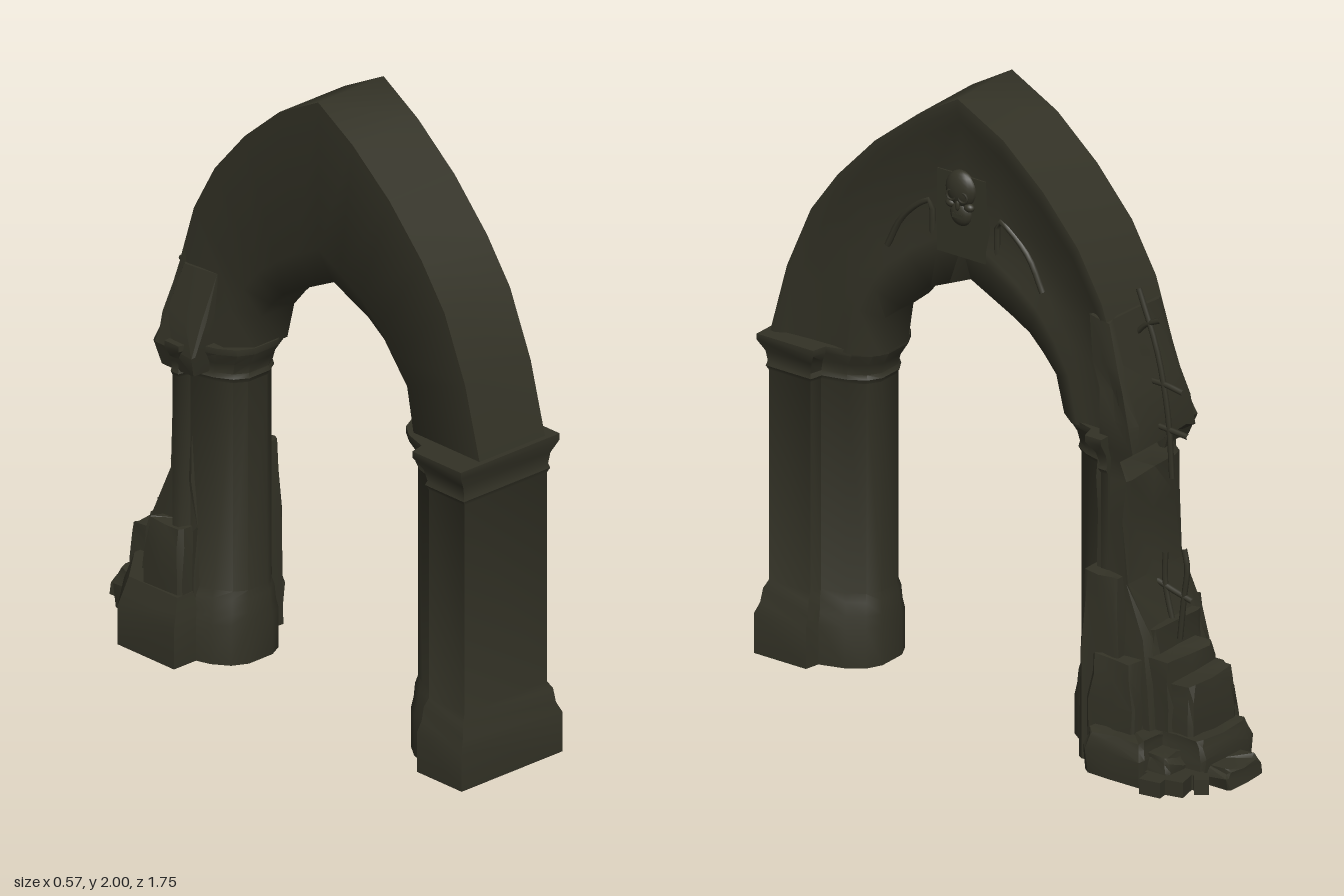
import * as THREE from 'three';
import { toCreasedNormals } from 'three/addons/utils/BufferGeometryUtils.js';

const stone = new THREE.MeshStandardMaterial({ color: 0x333226 });
stone.name = 'dark stone';

let seed = 7;
const rnd = () => { seed = (seed * 16807) % 2147483647; return seed / 2147483647 - 0.5; };

// Skin a list of closed rings of [x, y, z], cap the ends and turn faces outward
function loft(rings, crease) {
  const n = rings[0].length, pos = rings.flat(2), idx = [];
  for (let r = 0; r < rings.length - 1; r++) {
    for (let i = 0; i < n; i++) {
      const a = r * n + i, b = r * n + (i + 1) % n;
      idx.push(a, b, a + n, b, b + n, a + n);
    }
  }
  [0, rings.length - 1].forEach((r, end) => {
    const c = pos.length / 3;
    for (let k = 0; k < 3; k++) pos.push(rings[r].reduce((s, p) => s + p[k], 0) / n);
    for (let i = 0; i < n; i++) {
      const a = r * n + i, b = r * n + (i + 1) % n;
      if (end) idx.push(a, b, c); else idx.push(b, a, c);
    }
  });
  let volume = 0;
  const v = (i) => new THREE.Vector3().fromArray(pos, i * 3);
  for (let i = 0; i < idx.length; i += 3) volume += v(idx[i]).dot(v(idx[i + 1]).cross(v(idx[i + 2])));
  if (volume < 0) idx.reverse();
  const g = new THREE.BufferGeometry();
  g.setAttribute('position', new THREE.Float32BufferAttribute(pos, 3));
  g.setIndex(idx);
  return toCreasedNormals(g, crease);
}

// Ragged masonry from levels of [y, x0, x1, z0, z1]
function ragged(levels, jitter) {
  const outline = [[0, 0.06], [0, 0.5], [0, 0.95], [0.1, 1], [0.5, 1], [0.92, 1], [1, 0.92], [1, 0.5], [1, 0.06], [0.92, 0], [0.5, 0], [0.1, 0]];
  return loft(levels.map(([y, x0, x1, z0, z1]) => outline.map(([u, w]) => [
    x0 + (x1 - x0) * u + rnd() * jitter,
    Math.max(0, y + (y > 0.03 ? rnd() * jitter : 0)),
    z0 + (z1 - z0) * w + rnd() * jitter,
  ])), 0.5);
}

export function createModel() {
  const model = new THREE.Group();
  const add = (name, geometry, parent = model) => {
    const m = new THREE.Mesh(geometry, stone);
    m.name = name;
    parent.add(m);
    return m;
  };

  // Piers: a wide slab with a rounded inner half; levels are [y, side, inner, outer offsets]
  const plan = [[-0.22, 0.85], [0.12, 0.85], [0.12, 0.695], [0.08, 0.685], [0.06, 0.605], [0.03, 0.553], [-0.01, 0.528],
    [-0.09, 0.528], [-0.13, 0.553], [-0.16, 0.605], [-0.18, 0.685], [-0.22, 0.695]];
  const mouldings = [[0, 0.038, 0.012, 0.028], [0.13, 0.038, 0.012, 0.028], [0.165, 0.022, 0.008, 0.016],
    [0.21, 0.016, 0.005, 0.01], [0.235, 0, 0, 0], [0.925, 0, 0, 0], [0.94, 0.008, 0.008, 0.006],
    [0.955, 0.003, 0.003, 0.002], [0.99, 0.01, 0.012, 0.005], [1.03, 0.034, 0.036, 0.02], [1.05, 0.034, 0.036, 0.02]];
  const pier = (place) => loft(mouldings.map(([y, side, inner, outer]) => plan.map(([x, z]) => [
    -0.05 + (x + 0.05) * (1 + side / 0.17), y, place(z + (z > 0.8 ? outer : -inner), y)])), 0.6);
  add('frontPier', pier((z) => z));
  add('rearPier', pier((z, y) => Math.max(0.3 - z, y > 0.22 ? -0.42 : -0.58)));

  // Pointed arch: outer and inner points as [z, y, z, y], then the x of the sunk face
  const stations = [
    [0.855, 1.04, 0.49, 1.04, 0.085], [0.79, 1.28, 0.47, 1.17, 0.085], [0.7, 1.49, 0.41, 1.22, 0.08],
    [0.6, 1.63, 0.37, 1.27, 0.07], [0.46, 1.78, 0.3, 1.32, 0.06], [0.3, 1.91, 0.23, 1.35, 0.065],
    [0.15, 2, 0.15, 1.385, 0.085], [-0.02, 1.91, 0.07, 1.345, 0.065], [-0.17, 1.78, 0, 1.31, 0.06],
    [-0.3, 1.63, -0.07, 1.27, 0.07], [-0.39, 1.47, -0.12, 1.22, 0.08], [-0.45, 1.28, -0.17, 1.16, 0.085],
    [-0.49, 1.04, -0.2, 1.04, 0.085],
  ];
  // Section as [x, fraction from outer to inner]: rim, sunk face, roll, chamfered soffit
  const section = (face) => [[-0.16, 0], [0.11, 0], [0.112, 0.06], [0.095, 0.13], [0.088, 0.36], [face, 0.6],
    [0.09, 0.72], [0.09, 0.79], [0.045, 1], [-0.095, 1], [-0.16, 0.79]];
  add('arch', loft(stations.map(([oz, oy, iz, iy, face]) => section(face).map(([x, t]) => [
    x, oy + (iy - oy) * t, oz + (iz - oz) * t])), 1.2));

  // Broken core of the rear pier and the torn springing of the arch
  add('brokenCore', ragged([
    [0, -0.2, 0.15, -0.62, -0.35], [0.28, -0.19, 0.14, -0.6, -0.35], [0.42, -0.18, 0.13, -0.56, -0.35],
    [0.58, -0.18, 0.12, -0.49, -0.36], [0.78, -0.17, 0.11, -0.475, -0.37], [0.91, -0.17, 0.115, -0.485, -0.37],
    [0.97, -0.16, 0.105, -0.45, -0.37], [1.01, -0.19, 0.115, -0.515, -0.38], [1.1, -0.19, 0.118, -0.51, -0.38],
    [1.2, -0.17, 0.11, -0.48, -0.38], [1.28, -0.16, 0.115, -0.455, -0.36], [1.42, -0.15, 0.105, -0.415, -0.34],
  ], 0.016));
  add('brokenSpringer', ragged([
    [0.95, -0.22, -0.08, -0.47, -0.32], [1.02, -0.245, -0.08, -0.49, -0.31],
    [1.13, -0.21, -0.08, -0.46, -0.3], [1.28, -0.165, -0.08, -0.43, -0.28]], 0.012));

  // Corner plinth with one splayed side
  const plinth = [[-0.29, -0.34], [-0.29, -0.585], [-0.14, -0.715], [-0.03, -0.715], [-0.03, -0.34]];
  add('splayedPlinth', loft([[0, 1], [0.13, 1], [0.18, 0.92], [0.22, 0.86]].map(([y, s]) =>
    plinth.map(([x, z]) => [-0.06 + (x + 0.06) * s, y, -0.48 + (z + 0.48) * s])), 0.4));

  // Crumbling stubs around the rear pier: [x0, x1, z0, z1, height]
  const stubs = [
    [-0.25, -0.1, -0.52, -0.36, 0.43],
    [0.05, 0.255, -0.645, -0.42, 0.14], [0.05, 0.2, -0.57, -0.4, 0.36], [0.05, 0.175, -0.49, -0.35, 0.61],
    [-0.12, 0.13, -0.66, -0.5, 0.36], [-0.11, 0.12, -0.735, -0.55, 0.3], [-0.12, 0.14, -0.785, -0.6, 0.14],
    [-0.06, 0.11, -0.865, -0.7, 0.06], [-0.15, 0.1, -0.59, -0.45, 0.44], [0.08, 0.22, -0.72, -0.58, 0.1],
  ];
  for (const [x0, x1, z0, z1, h] of stubs) {
    add('ruinedStub', ragged([[0, x0, x1, z0, z1], [h * 0.6, x0, x1, z0, z1],
      [h * 0.85, x0 + 0.008, x1 - 0.008, z0 + 0.008, z1 - 0.008], [h, x0 + 0.015, x1 - 0.015, z0 + 0.015, z1 - 0.015]], 0.013));
  }

  // Loose rubble at the foot
  for (const [x, z, s] of [[0.24, -0.69, 0.08], [0.2, -0.74, 0.08], [0.16, -0.8, 0.05], [0.14, -0.74, 0.08], [0.19, -0.66, 0.08]]) {
    const chip = add('rubble', new THREE.BoxGeometry(s, 0.05, s * 0.9));
    chip.position.set(x, 0.026, z);
    chip.rotation.y = 0.5 + rnd();
  }

  // Bent reinforcing rods, as [z, y] points
  const rod = (pts, x, r, name) => add(name, new THREE.TubeGeometry(
    new THREE.CatmullRomCurve3(pts.map(([z, y]) => new THREE.Vector3(x, y, z))), 12, r, 6));
  [
    [[-0.43, 1.49], [-0.5, 1.3], [-0.54, 1.1], [-0.555, 0.9]],
    [[-0.42, 1.34], [-0.46, 1.38], [-0.51, 1.405]],
    [[-0.45, 1.2], [-0.53, 1.2], [-0.595, 1.19]],
    [[-0.48, 1.06], [-0.56, 1.055], [-0.615, 1.05]],
    [[-0.53, 0.65], [-0.53, 0.55], [-0.56, 0.42]],
    [[-0.6, 0.68], [-0.612, 0.62], [-0.6, 0.52], [-0.585, 0.38]],
    [[-0.5, 0.55], [-0.57, 0.53], [-0.63, 0.515]],
  ].forEach((pts) => rod(pts, -0.02, 0.009, 'bentRod'));

  // Niche behind the carved skull, and the spandrel tracery on either side
  const niche = add('niche', new THREE.BoxGeometry(0.03, 0.27, 0.18));
  niche.position.set(0.078, 1.61, 0.15);
  for (const s of [-1, 1]) {
    const path = [[0.12, 0], [0.13, 0.12], [0.17, 0.1], [0.24, 0.03], [0.29, -0.07]];
    rod(path.map(([z, y]) => [0.15 + s * z, 1.5 + y]), 0.074, 0.01, 'spandrelTracery');
  }

  // Carved skull in relief, facing +x
  const skull = new THREE.Group();
  skull.name = 'carvedSkull';
  skull.position.set(0.09, 1.67, 0.15);
  model.add(skull);
  const ball = (name, y, z, x, sx, sy, sz) => {
    const m = add(name, new THREE.SphereGeometry(1, 16, 12), skull);
    m.position.set(x, y, z);
    m.scale.set(sx, sy, sz);
  };
  ball('cranium', 0.03, 0, 0, 0.03, 0.06, 0.056);
  ball('jaw', -0.05, 0, 0, 0.024, 0.042, 0.04);
  ball('nose', -0.018, 0, 0.022, 0.006, 0.018, 0.008);
  for (const s of [-1, 1]) {
    ball('cheekbone', -0.022, s * 0.034, 0.008, 0.014, 0.014, 0.018);
    const socket = add('eyeSocket', new THREE.TorusGeometry(0.016, 0.004, 6, 14), skull);
    socket.position.set(0.024, 0.012, s * 0.022);
    socket.rotation.y = Math.PI / 2;
  }
  const teeth = add('teeth', new THREE.BoxGeometry(0.02, 0.014, 0.036), skull);
  teeth.position.set(0.014, -0.053, 0);

  return model;
}
